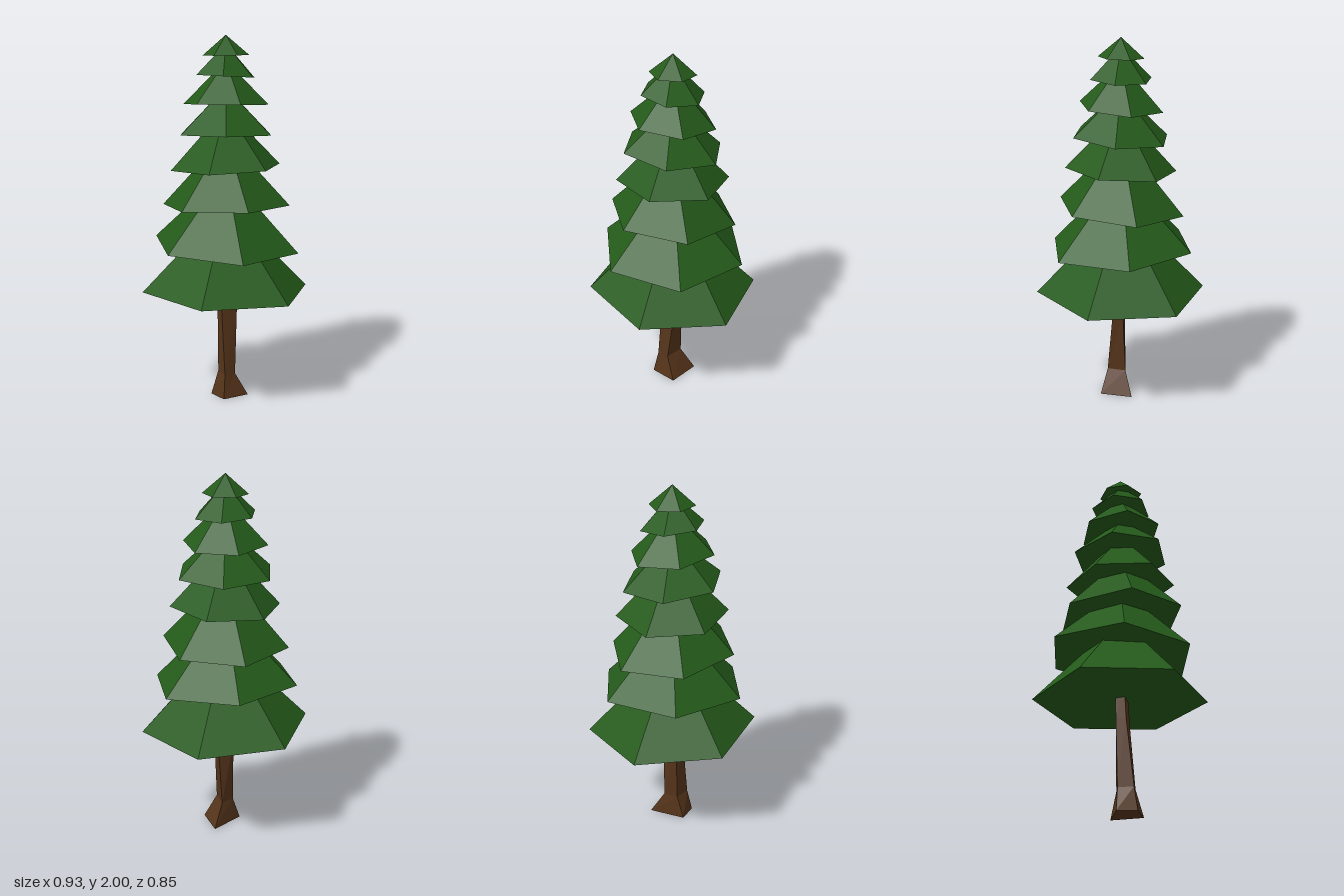
import * as THREE from 'three';

const green = new THREE.MeshStandardMaterial({ color: 0x245a1a, flatShading: true });
const brown = new THREE.MeshStandardMaterial({ color: 0x55341a, flatShading: true });

// One six-sided layer of branches; its base plane leans by slopeX and slopeZ.
function foliageTier([radius, baseY, height, turn, slopeX, slopeZ], index) {
  const start = THREE.MathUtils.degToRad(90 - turn);
  const geometry = new THREE.ConeGeometry(radius, height, 6, 1, false, start);
  geometry.translate(0, height / 2, 0);
  const p = geometry.attributes.position;
  for (let i = 0; i < p.count; i++) {
    p.setY(i, p.getY(i) + baseY + slopeX * p.getX(i) + slopeZ * p.getZ(i));
  }
  geometry.computeVertexNormals();
  const mesh = new THREE.Mesh(geometry, green);
  mesh.name = `foliageTier${index + 1}`;
  return mesh;
}

// Skin four-cornered rings [y, [x, z] ...] from bottom to top and cap both ends.
function trunkGeometry(rings) {
  const points = [];
  const faces = [];
  const n = 4;
  for (const [y, ...corners] of rings) {
    for (const [x, z] of corners) points.push(x, y, z);
  }
  for (let r = 0; r < rings.length - 1; r++) {
    for (let i = 0; i < n; i++) {
      const a = r * n + i;
      const b = r * n + (i + 1) % n;
      faces.push(a, b, b + n, a, b + n, a + n);
    }
  }
  const t = (rings.length - 1) * n;
  faces.push(0, 2, 1, 0, 3, 2, t, t + 1, t + 2, t, t + 2, t + 3);
  const geometry = new THREE.BufferGeometry();
  geometry.setAttribute('position', new THREE.Float32BufferAttribute(points, 3));
  geometry.setIndex(faces);
  const flat = geometry.toNonIndexed();
  flat.computeVertexNormals();
  return flat;
}

export function createModel() {
  const tree = new THREE.Group();
  tree.name = 'pineTree';

  // Trunk with a flared foot
  const trunk = new THREE.Mesh(trunkGeometry([
    [0, [-0.05, 0.11], [0.10, 0.09], [0.09, -0.09], [-0.09, 0.01]],
    [0.13, [-0.035, 0.085], [0.03, 0.07], [0.03, -0.035], [-0.045, 0]],
    [0.5, [-0.04, 0.045], [0.055, 0.03], [0.05, -0.025], [-0.045, -0.01]],
    [0.7, [-0.04, 0.035], [0.04, 0.025], [0.04, -0.02], [-0.04, -0.015]],
  ]), brown);
  trunk.name = 'trunk';
  tree.add(trunk);

  // Foliage: radius, base height, cone height, turn in degrees, lean in x, lean in z
  const tiers = [
    [0.468, 0.613, 0.48, 5, -0.032, 0.03],
    [0.41, 0.867, 0.41, 37, -0.04, -0.025],
    [0.35, 1.09, 0.38, 30, -0.015, 0.08],
    [0.302, 1.298, 0.32, 6, 0.02, 0.055],
    [0.273, 1.478, 0.25, 49.5, -0.03, 0.08],
    [0.23, 1.637, 0.23, 30, -0.04, 0.09],
    [0.17, 1.785, 0.17, 54, -0.07, 0.06],
    [0.122, 1.895, 0.105, 20, 0, 0.04],
  ];
  tiers.forEach((tier, i) => tree.add(foliageTier(tier, i)));
  return tree;
}
